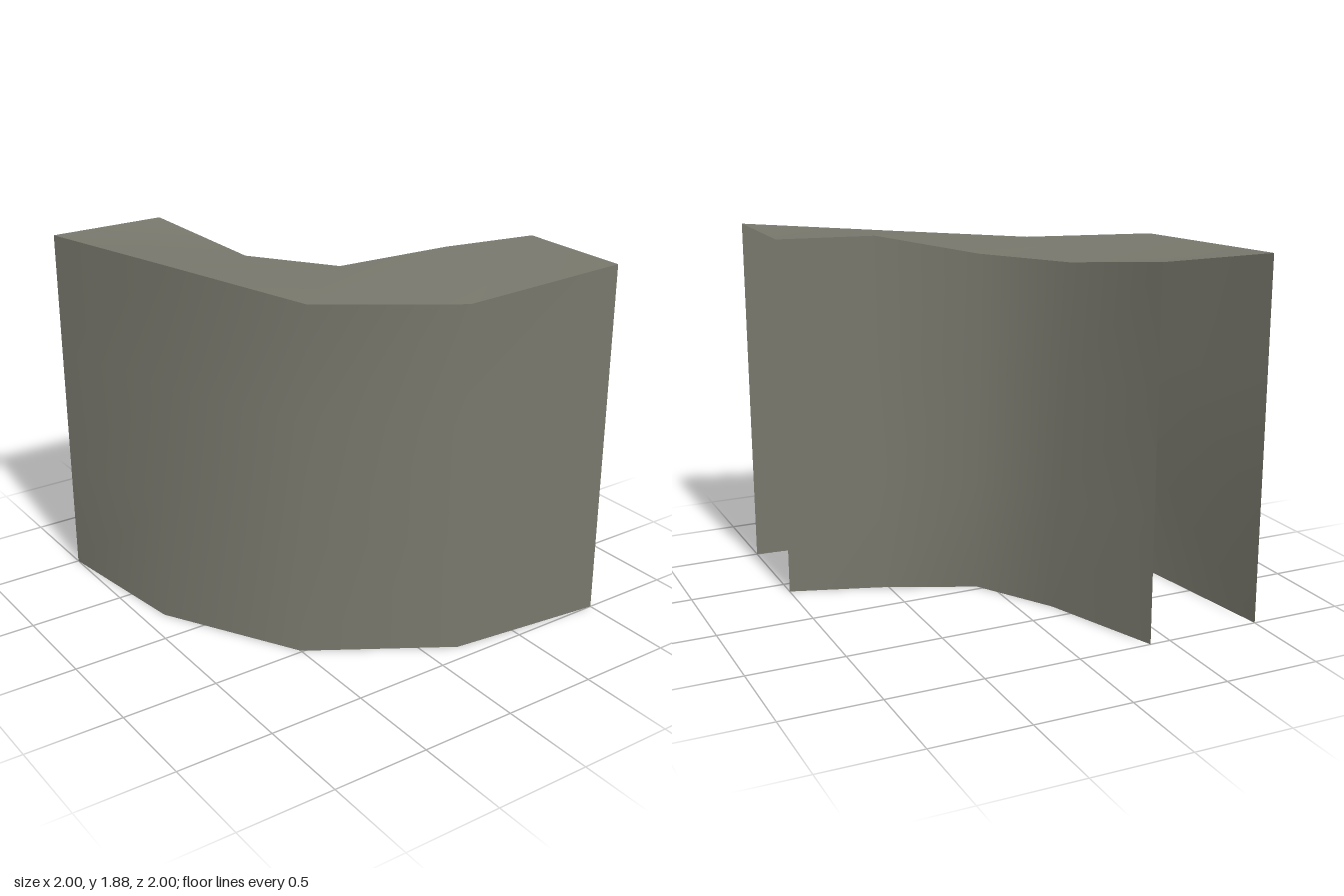
import * as THREE from 'three';

// Skin a grid of points; rows run along u, stacked along v, facing u x v
function skin(rows, material, name) {
  const n = rows[0].length, index = [];
  for (let v = 0; v < rows.length - 1; v++) {
    for (let u = 0; u < n - 1; u++) {
      const a = v * n + u, b = a + 1, c = a + n, d = c + 1;
      index.push(a, b, d, a, d, c);
    }
  }
  const geometry = new THREE.BufferGeometry();
  geometry.setAttribute('position', new THREE.Float32BufferAttribute(rows.flat(2), 3));
  geometry.setIndex(index);
  geometry.computeVertexNormals();
  const mesh = new THREE.Mesh(geometry, material);
  mesh.name = name;
  return mesh;
}

// Wall rows from foot to rim; the foot flares out and eases into an upright top
function wallRows(foot, rim, flare) {
  return flare.map((f, r) => rim.map(([x, y, z], i) => [
    x + (foot[i][0] - x) * f,
    y * r / (flare.length - 1),
    z + (foot[i][1] - z) * f,
  ]));
}

export function createModel() {
  const stone = new THREE.MeshStandardMaterial({ color: 0x77776c, side: THREE.DoubleSide });
  stone.name = 'grey stone';

  // Rim points (x, y, z) and foot points (x, z) along the bend
  const outerRim = [[-1, 1.88, -1], [-0.79, 1.88, -0.22], [-0.42, 1.795, 0.44], [0.18, 1.805, 0.89], [1, 1.88, 1]];
  const outerFoot = [[-1, -1], [-0.89, -0.21], [-0.5, 0.49], [0.17, 0.91], [1, 1]];
  const innerRim = [[-0.39, 1.88, -1], [-0.24, 1.795, -0.38], [0.05, 1.795, 0.04], [0.51, 1.88, 0.3], [1, 1.88, 0.39]];
  const innerFoot = [[-0.39, -1], [-0.17, -0.38], [0.07, 0.03], [0.54, 0.24], [1, 0.39]];

  const flare = [1, 0.65, 0.08, 0];
  const outer = wallRows(outerFoot, outerRim, flare);
  const inner = wallRows(innerFoot, innerRim, flare);
  // The inner corner bulges a little above the foot
  inner[1][2] = [0.085, inner[1][2][1], 0.02];

  const group = new THREE.Group();
  group.name = 'curvedWall';
  group.add(
    skin(outer, stone, 'outerWall'),
    skin(inner.map((row) => [...row].reverse()), stone, 'innerWall'),
    skin([outerRim, innerRim], stone, 'wallTop'),
  );
  return group;
}
